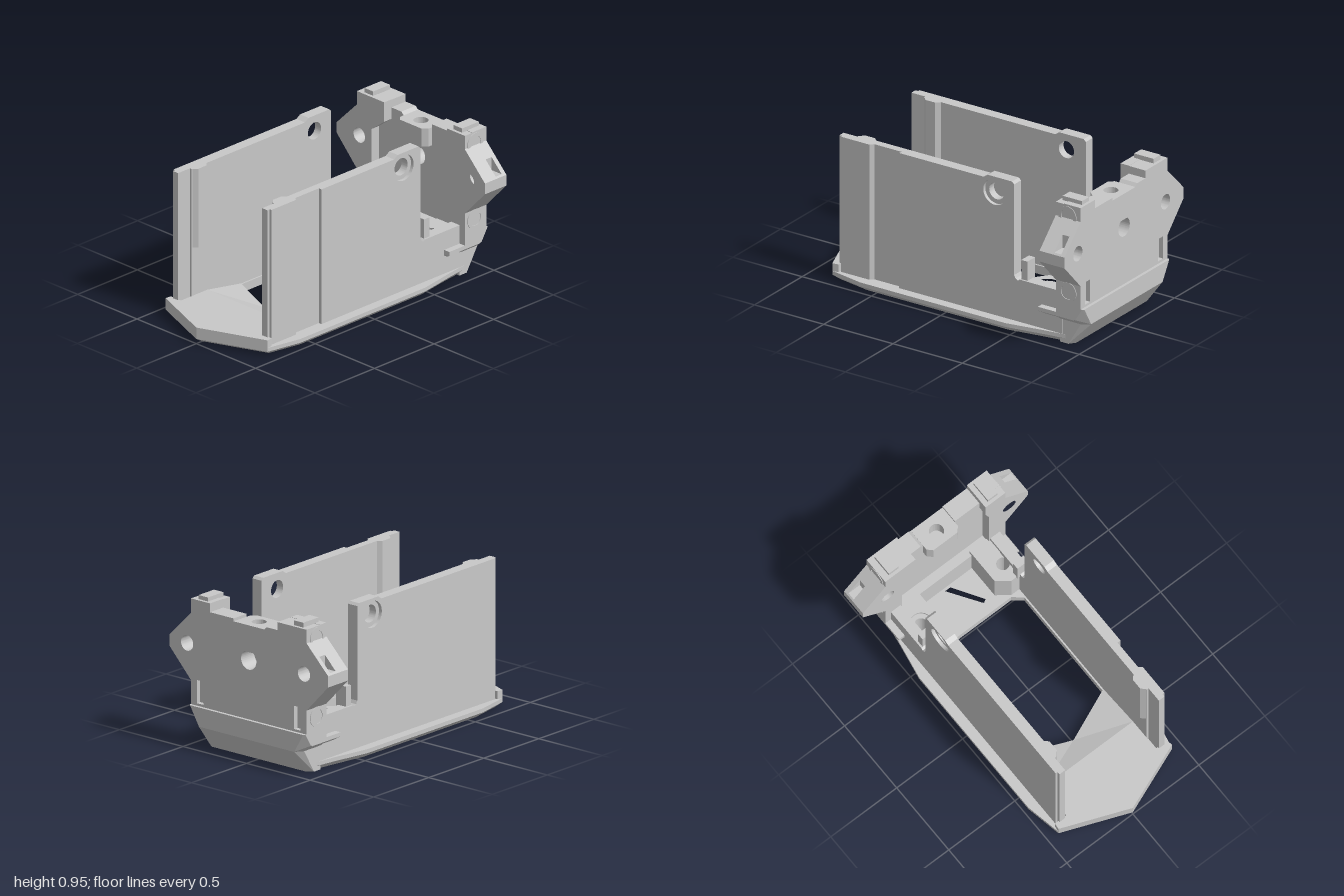
import * as THREE from 'three';
import { toCreasedNormals } from 'three/addons/utils/BufferGeometryUtils.js';
import { ConvexGeometry } from 'three/addons/geometries/ConvexGeometry.js';

export function createModel() {
  const model = new THREE.Group();
  model.name = 'openCradleBracket';
  const grey = new THREE.MeshStandardMaterial({ color: 0xc8c8c8 });
  grey.name = 'lightGrey';

  const add = (name, geo) => {
    const mesh = new THREE.Mesh(geo, grey);
    mesh.name = name;
    model.add(mesh);
  };
  const poly = (pts, holes = []) => {
    const s = new THREE.Shape(pts.map(p => new THREE.Vector2(p[0], p[1])));
    s.holes = holes;
    return s;
  };
  const circle = (x, y, r) => new THREE.Path().absarc(x, y, r, 0, Math.PI * 2, true);
  const disc = (x, y, r, hole) => {
    const s = new THREE.Shape().absarc(x, y, r, 0, Math.PI * 2);
    s.holes.push(circle(x, y, hole));
    return s;
  };
  const loop = pts => new THREE.Path(pts.map(p => new THREE.Vector2(p[0], p[1])));
  const extrude = (shape, depth) => new THREE.ExtrudeGeometry(shape, { depth, bevelEnabled: false, curveSegments: 28 });
  const crease = g => toCreasedNormals(g, 0.25);
  // plan shapes use (x, -z) and rise along y; side shapes use (x, y); end shapes use (-z, y)
  const plan = (shape, y0, y1) => extrude(shape, y1 - y0).rotateX(-Math.PI / 2).translate(0, y0, 0);
  const side = (shape, s, zIn, zOut) => extrude(shape, zOut - zIn).translate(0, 0, s > 0 ? zIn : -zOut);
  const end = (shape, x0, x1) => extrude(shape, x1 - x0).rotateY(Math.PI / 2).translate(x0, 0, 0);
  const mirror = pts => [...pts, ...pts.filter(p => p[1] !== 0).reverse().map(p => [p[0], -p[1]])];
  const hull = pts => new ConvexGeometry(pts.map(p => new THREE.Vector3(...p)));
  const hullBothSides = pts => hull(pts.flatMap(p => [p, [p[0], p[1], -p[2]]]));
  const box = (name, x0, x1, y0, y1, z0, z1) =>
    add(name, new THREE.BoxGeometry(x1 - x0, y1 - y0, z1 - z0).translate((x0 + x1) / 2, (y0 + y1) / 2, (z0 + z1) / 2));

  // Base: a U-shaped frame around the large opening, closed by a cross plate with screw holes and a vent
  const frame = poly(mirror([
    [-1, 0], [-0.83, 0.43], [-0.6, 0.475], [0.45, 0.475], [0.51, 0.464],
    [0.51, 0.27], [0.46, 0.33], [-0.29, 0.33], [-0.43, 0],
  ]));
  const cross = poly(mirror([[0.51, 0.464], [0.7, 0.43], [0.84, 0.41], [0.89, 0.37]]), [
    circle(0.64, 0.31, 0.04), circle(0.64, -0.31, 0.04),
    loop([[0.58, -0.12], [0.79, 0.02], [0.79, -0.03], [0.6, -0.15]]),
  ]);
  for (const [name, shape] of [['baseFrame', frame], ['baseCrossPlate', cross]]) {
    const lower = plan(shape, 0, 0.03);
    const p = lower.attributes.position;
    for (let i = 0; i < p.count; i++) { // chamfer the underside rim
      const x = p.getX(i), z = p.getZ(i);
      if (p.getY(i) < 0.001 && (Math.abs(z) > 0.36 || x < -0.8))
        p.setXYZ(i, x < 0 ? x * 0.95 : x, 0, z * 0.93);
    }
    add(name + 'Underside', crease(lower));
    add(name, crease(plan(shape, 0.03, 0.055)));
  }

  // Raised pointed nose and the ramp behind it
  add('nosePlate', crease(plan(poly(mirror([
    [-0.71, 0], [-0.57, 0.34], [-0.79, 0.34], [-0.79, 0.425], [-0.83, 0.43], [-1, 0],
  ])), 0.05, 0.105)));
  const ramp = plan(poly(mirror([[-0.71, 0], [-0.57, 0.34], [-0.29, 0.34], [-0.43, 0]])), 0.03, 0.105);
  const rp = ramp.attributes.position;
  for (let i = 0; i < rp.count; i++) {
    const t = (rp.getX(i) - 0.412 * Math.abs(rp.getZ(i)) + 0.71) / 0.28;
    if (rp.getY(i) > 0.1) rp.setY(i, 0.105 - 0.049 * t);
  }
  ramp.computeVertexNormals();
  add('noseRamp', ramp);

  // Side walls: inner sheet plus outer skin, so the screw hole is counterbored
  const wallOutline = x0 => [
    [x0, 0.05], [0.82, 0.05], [0.82, 0.33], [0.51, 0.33], [0.495, 0.32], [0.48, 0.33], [0.47, 0.35],
    [0.47, 0.94], [0.455, 0.955], [0.28, 0.955], [0.25, 0.935], [x0, 0.935],
  ];
  for (const s of [1, -1]) {
    add('sideWallInner', crease(side(poly(wallOutline(-0.7), [circle(0.33, 0.855, 0.055)]), s, 0.34, 0.39)));
    const skinStart = s > 0 ? -0.36 : -0.78;
    add('sideWallSkin', crease(side(poly(wallOutline(skinStart), [circle(0.33, 0.855, 0.083)]), s, 0.39, 0.412)));
    // thin tail of the wall
    box('sideWallTail', -0.8, -0.69, 0.05, 0.935, s > 0 ? 0.355 : -0.398, s > 0 ? 0.398 : -0.355);
    // the left wall has a shallow vertical channel
    if (s > 0) {
      add('sideWallEndSkin', crease(plan(poly([[-0.78, -0.39], [-0.78, -0.412], [-0.575, -0.412], [-0.555, -0.39]]), 0.05, 0.935)));
    }
    add('innerRib', crease(plan(poly([
      [-0.7, -0.36 * s], [-0.7, -0.345 * s], [-0.67, -0.315 * s], [-0.6, -0.315 * s], [-0.57, -0.345 * s], [-0.57, -0.36 * s],
    ]), 0.42, 0.935)));
    box('wallStop', 0.513, 0.558, 0.28, 0.455, s > 0 ? 0.32 : -0.4, s > 0 ? 0.4 : -0.32);

    // Corner screw block with a sunken seat
    add('screwBlock', crease(plan(poly(
      [[0.52, -0.4 * s], [0.52, -0.28 * s], [0.58, -0.2 * s], [0.82, -0.2 * s], [0.82, -0.4 * s]],
      [circle(0.64, -0.31 * s, 0.07)]), 0.05, 0.3)));
    add('screwSeat', crease(plan(disc(0.64, -0.31 * s, 0.075, 0.04), 0.05, 0.285)));

    // Ledge low on the outside
    add('sideLedge', hull([
      [0.67, 0.17, 0.4], [0.67, 0.21, 0.4], [0.67, 0.21, 0.455], [0.67, 0.185, 0.455], [0.7, 0.15, 0.4],
      [0.93, 0.21, 0.4], [0.93, 0.21, 0.455], [0.93, 0.185, 0.455], [0.89, 0.15, 0.4],
    ].map(p => [p[0], p[1], p[2] * s])));
  }

  // Chamfered sill below the upright plate, in a narrow lower and a wide upper part
  add('sillLower', hullBothSides([
    [0.8, 0, 0.41], [0.86, 0, 0.41], [0.89, 0, 0.37], [0.8, 0.15, 0.41], [0.95, 0.15, 0.41], [1, 0.15, 0.375],
  ]));
  add('sillUpper', hullBothSides([
    [0.8, 0.15, 0.41], [0.95, 0.15, 0.41], [1, 0.15, 0.375], [0.8, 0.19, 0.455], [0.94, 0.19, 0.455],
    [0.8, 0.27, 0.455], [0.99, 0.27, 0.455], [1, 0.27, 0.445],
  ]));

  // Upright end plate, drawn in (-z, y), notched for the centre boss
  const sideSlot = s => [[0.615, 0.68], [0.53, 0.68], [0.53, 0.765]].map(p => [p[0] * s, p[1]]);
  const plateOutline = slotted => [
    [-0.455, 0.26], [0.455, 0.26], [0.455, 0.42], [0.625, 0.6], [0.625, 0.67],
    ...(slotted ? sideSlot(1) : []), [0.455, 0.84], [0.455, 0.925],
    [0.225, 0.925], [0.225, 0.875], [0.14, 0.875], [0.12, 0.855], [0.12, 0.74], [-0.12, 0.74], [-0.12, 0.875],
    [-0.305, 0.875], [-0.305, 0.93], [-0.455, 0.93], [-0.455, 0.84],
    ...(slotted ? sideSlot(-1).reverse() : []), [-0.625, 0.67], [-0.625, 0.6], [-0.455, 0.42],
  ];
  const plateHoles = () => [circle(-0.485, 0.645, 0.048), circle(0.435, 0.645, 0.048),
    new THREE.Path().absarc(0, 0.64, 0.06, Math.PI * 0.31, Math.PI * 0.69, true)];
  const slot = z => loop([[z - 0.026, 0.285], [z - 0.026, 0.43], [z + 0.026, 0.43], [z + 0.026, 0.285]]);
  add('endPlateBack', crease(end(poly(plateOutline(false), plateHoles()), 0.86, 0.9)));
  add('endPlateCore', crease(end(poly(plateOutline(true), plateHoles()), 0.9, 0.95)));
  add('endPlateFace', crease(end(poly(plateOutline(false), [...plateHoles(), slot(0.383), slot(-0.383)]), 0.95, 0.98)));

  // Centre boss with a vertical screw hole
  add('centreBoss', crease(plan(poly([[0.8, -0.09], [0.83, -0.12], [0.98, -0.12], [0.98, 0.12], [0.83, 0.12], [0.8, 0.09]],
    [circle(0.885, 0, 0.045)]), 0.74, 0.857)));

  for (const s of [1, -1]) {
    // Thick ear behind each end of the plate
    const inner = s > 0 ? 0.305 : 0.225;
    add('plateEar', crease(end(poly([
      [0.33, 0.26], [0.455, 0.26], [0.455, 0.42], [0.625, 0.6], [0.625, 0.67], [0.455, 0.84], [0.455, 0.927],
      [inner, 0.927], [inner, 0.8], [0.33, 0.72],
    ].map(p => [-p[0] * s, p[1]]), [circle(s > 0 ? -0.485 : 0.435, 0.645, 0.048)]), 0.8, 0.86)));
    // Raised tab on top of the ear
    add('earTab', hull([[0.82, 0.338], [0.96, 0.338], [0.82, 0.412], [0.96, 0.412]].flatMap(([x, z]) =>
      [[x, 0.92, z * s], [x, 0.955, z * s]])));
    // Screw collars facing sideways
    for (const y of [0.36, 0.855]) {
      add('screwCollar', crease(side(disc(0.885, y, 0.064, 0.045), s, 0.44, 0.459)));
    }
  }
  return model;
}
